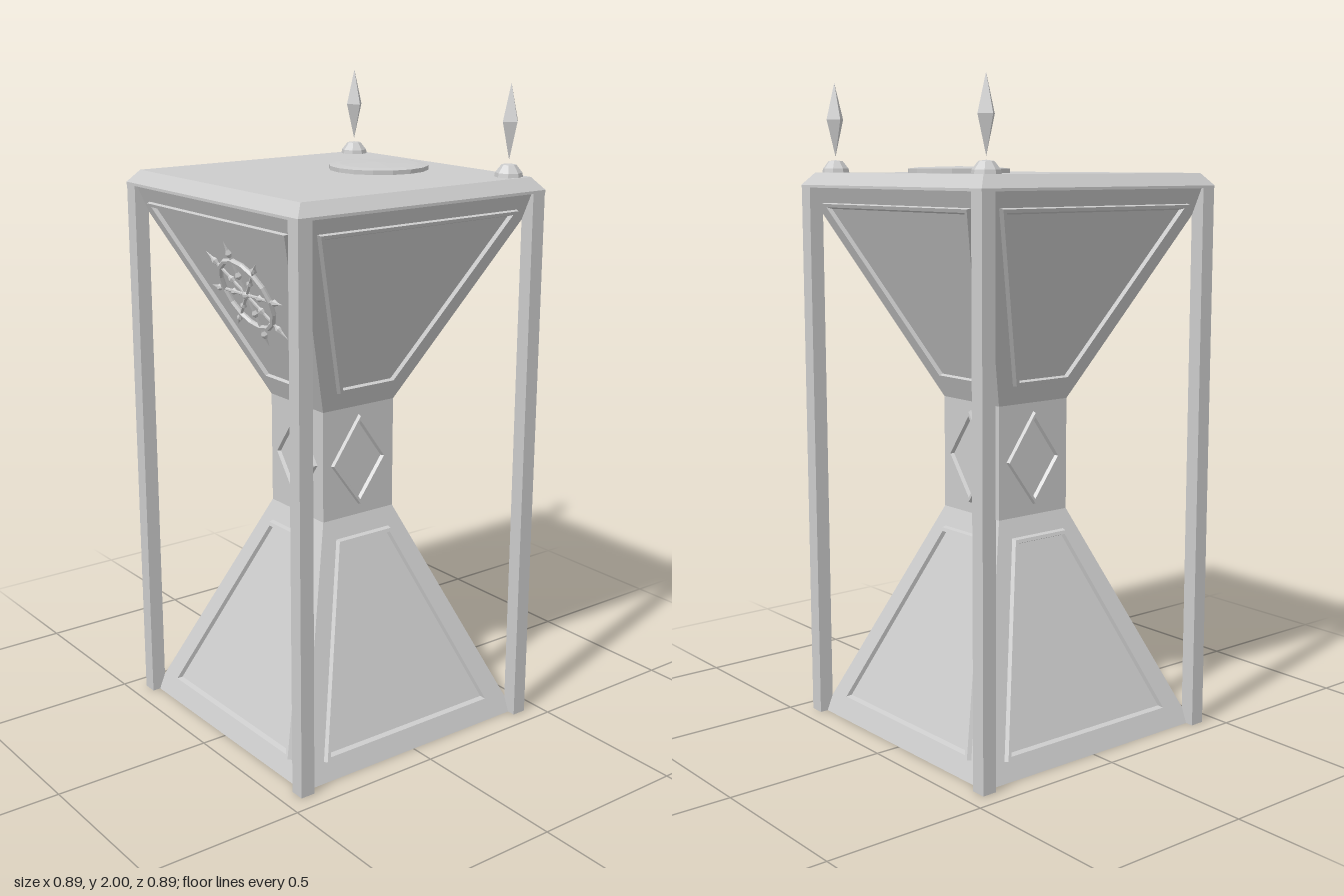
import * as THREE from 'three';

const V2 = (x, y) => new THREE.Vector2(x, y);

// Half width of the square core at three zones
const lowerHalf = y => 0.42 - 0.413 * y;
const neckHalf = () => 0.135;
const SLOPE = 0.47;
const upperHalf = y => 0.135 + SLOPE * (y - 1.04);

// Moves a counter-clockwise convex outline inwards by d
function inset(pts, d) {
  const n = pts.length;
  return pts.map((p, i) => {
    const a = p.clone().sub(pts[(i + n - 1) % n]).normalize();
    const b = pts[(i + 1) % n].clone().sub(p).normalize();
    const n1 = V2(-a.y, a.x), n2 = V2(-b.y, b.x);
    return n1.clone().add(n2).multiplyScalar(d / (1 + n1.dot(n2))).add(p);
  });
}

// Raised rim following an outline, laid on the face z = half(y)
function rimGeometry(outline, half, width, height) {
  const lift = [[0, -0.004], [0.004, height], [width - 0.006, height], [width, -0.004]];
  const loops = lift.map(([d, h]) =>
    inset(outline, d).map(p => [p.x, p.y, half(p.y) + h]));
  const pos = [];
  const n = outline.length;
  for (let k = 0; k < 3; k++) {
    for (let i = 0; i < n; i++) {
      const j = (i + 1) % n;
      const a = loops[k][i], b = loops[k][j], c = loops[k + 1][j], d = loops[k + 1][i];
      pos.push(...a, ...b, ...c, ...a, ...c, ...d);
    }
  }
  const g = new THREE.BufferGeometry();
  g.setAttribute('position', new THREE.Float32BufferAttribute(pos, 3));
  g.computeVertexNormals();
  return g;
}

// Square solid from [half width, y] pairs, bottom to top
function squareLathe(profile) {
  const pts = profile.map(([h, y]) => V2(h * Math.SQRT2, y));
  return new THREE.LatheGeometry(pts, 4).rotateY(Math.PI / 4);
}

export function createModel() {
  const root = new THREE.Group();
  const stone = new THREE.MeshStandardMaterial({ color: 0xcccccc, flatShading: true });
  stone.name = 'pale grey';

  const add = (parent, name, geometry, x = 0, y = 0, z = 0) => {
    const m = new THREE.Mesh(geometry, stone);
    m.name = name;
    m.position.set(x, y, z);
    parent.add(m);
    return m;
  };

  // Hourglass core and top slab
  add(root, 'core', squareLathe([
    [0, 0], [0.42, 0], [0.135, 0.69], [0.135, 1.04], [upperHalf(1.69), 1.69], [0, 1.69],
  ]));
  add(root, 'topSlab', squareLathe([
    [0, 1.685], [0.447, 1.685], [0.447, 1.693], [0.416, 1.73], [0, 1.73],
  ]));

  // Corner posts
  for (const x of [-1, 1]) for (const z of [-1, 1]) {
    add(root, 'cornerPost', new THREE.BoxGeometry(0.046, 1.69, 0.046), x * 0.423, 0.845, z * 0.423);
  }

  // Raised frames on all four sides
  const lowerRim = rimGeometry(
    [V2(-0.33, 0.055), V2(0.33, 0.055), V2(0.103, 0.635), V2(-0.103, 0.635)], lowerHalf, 0.02, 0.014);
  const upperRim = rimGeometry(
    [V2(-0.105, 1.1), V2(0.105, 1.1), V2(0.365, 1.64), V2(-0.365, 1.64)], upperHalf, 0.02, 0.014);
  const diamond = rimGeometry(
    [V2(0, 0.72), V2(0.107, 0.865), V2(0, 1.015), V2(-0.107, 0.865)], neckHalf, 0.018, 0.011);
  for (let i = 0; i < 4; i++) {
    const side = new THREE.Group();
    side.name = 'sideFrames';
    side.rotation.y = i * Math.PI / 2;
    add(side, 'lowerFrame', lowerRim);
    add(side, 'upperFrame', upperRim);
    add(side, 'diamondFrame', diamond);
    root.add(side);
  }

  // Spoked wheel on the front of the upper funnel
  const wheel = new THREE.Group();
  wheel.name = 'wheel';
  wheel.position.set(0, 1.4, upperHalf(1.4) + 0.008);
  wheel.rotation.x = Math.atan(SLOPE);
  root.add(wheel);
  add(wheel, 'wheelRing', new THREE.TorusGeometry(0.117, 0.009, 6, 16));
  add(wheel, 'wheelHub', new THREE.SphereGeometry(0.014, 8, 6));
  const spoke = new THREE.LatheGeometry([
    V2(0.005, 0), V2(0.005, 0.055), V2(0.011, 0.066), V2(0.005, 0.078), V2(0.005, 0.13),
    V2(0.011, 0.142), V2(0.005, 0.155), V2(0, 0.185),
  ], 6);
  for (let i = 0; i < 8; i++) {
    add(wheel, 'wheelSpoke', spoke).rotation.z = i * Math.PI / 4;
  }

  // Low domed disc on the slab
  add(root, 'topDisc', new THREE.LatheGeometry([
    V2(0, 1.725), V2(0.152, 1.725), V2(0.153, 1.743), V2(0.12, 1.747), V2(0, 1.75),
  ], 16), 0, 0, -0.178);

  // Two finials at the back corners
  for (const x of [-0.37, 0.37]) {
    add(root, 'finialBase', new THREE.LatheGeometry([
      V2(0, 1.725), V2(0.043, 1.725), V2(0.04, 1.742), V2(0.022, 1.765), V2(0, 1.768),
    ], 8), x, 0, -0.37);
    add(root, 'finialSpike', new THREE.LatheGeometry([
      V2(0, 1.778), V2(0.03, 1.89), V2(0, 2),
    ], 4), x, 0, -0.37);
  }
  return root;
}
